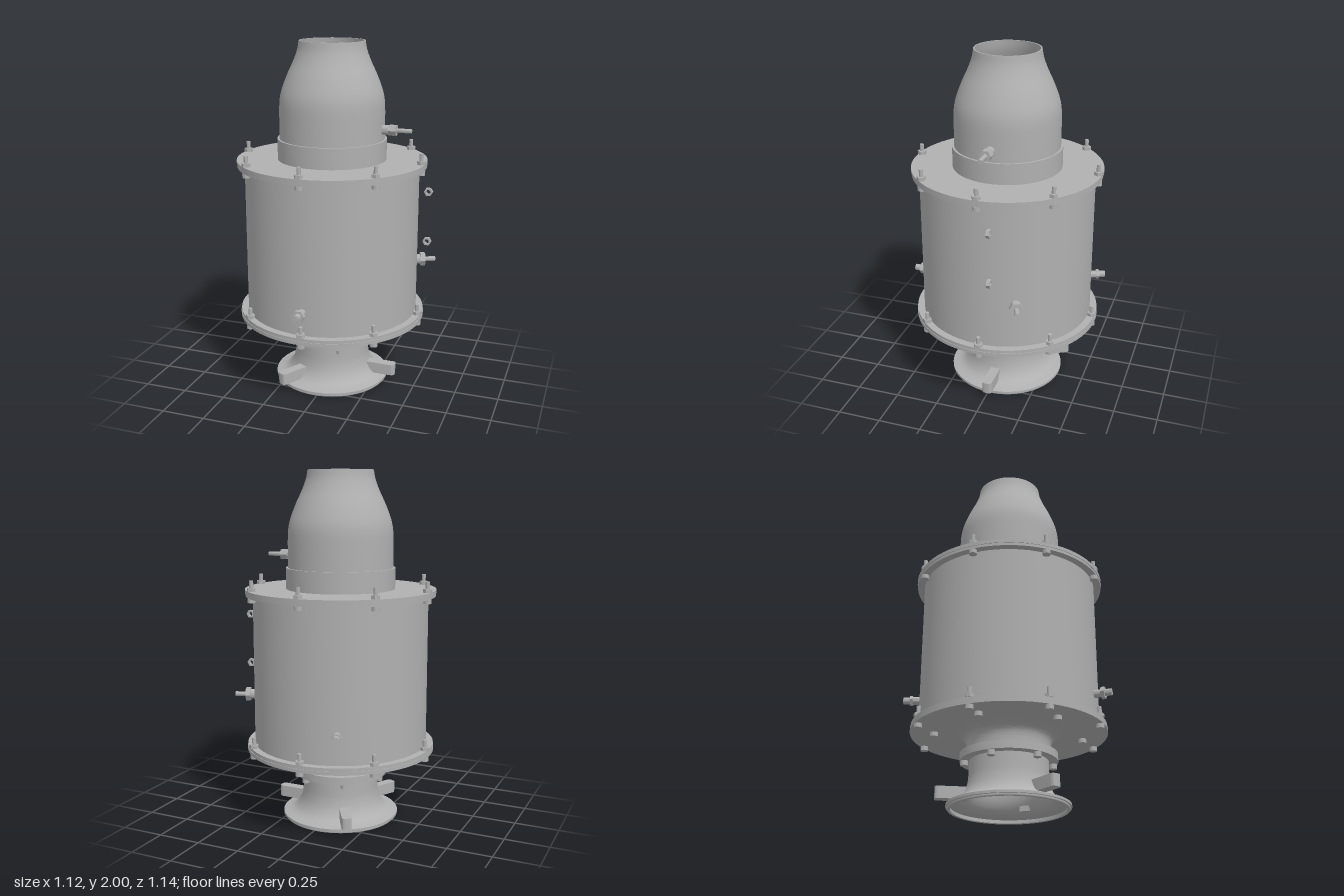
import * as THREE from 'three';
import { toCreasedNormals } from 'three/addons/utils/BufferGeometryUtils.js';

export function createModel() {
  const model = new THREE.Group();
  model.name = 'burner';
  // everything is arranged around the main axis, slightly off the origin
  const body = new THREE.Group();
  body.name = 'assembly';
  body.position.set(-0.015, 0, -0.017);
  model.add(body);

  const steel = new THREE.MeshStandardMaterial({ color: 0xb0b0b0, side: THREE.DoubleSide });
  steel.name = 'steel grey';

  const add = (name, geo, parent = body) => {
    const m = new THREE.Mesh(geo, steel);
    m.name = name;
    parent.add(m);
    return m;
  };
  // profile runs up the outside and down the inside
  const lathe = (name, pts, segs = 72) => add(name, toCreasedNormals(
    new THREE.LatheGeometry(pts.map(p => new THREE.Vector2(p[0], p[1])), segs), 0.6));
  const curve = (pts, n) => new THREE.SplineCurve(pts.map(p => new THREE.Vector2(p[0], p[1])))
    .getPoints(n).map(p => [p.x, p.y]);
  const ring = (name, r0, r1, y0, y1) =>
    lathe(name, [[r0, y0], [r1, y0], [r1, y1], [r0, y1], [r0, y0]]);
  // upright cylinder spanning y0..y1
  const post = (name, parent, r, y0, y1, segs) => {
    const m = add(name, toCreasedNormals(new THREE.CylinderGeometry(r, r, y1 - y0, segs), 0.6), parent);
    m.position.y = (y0 + y1) / 2;
    return m;
  };
  const around = (n, r, name, build) => {
    for (let i = 0; i < n; i++) {
      const a = (i / n) * Math.PI * 2;
      const g = new THREE.Group();
      g.name = name;
      g.position.set(Math.cos(a) * r, 0, Math.sin(a) * r);
      g.rotation.y = -a;
      body.add(g);
      build(g);
    }
  };

  // outlet nozzle and its collar
  const neck = curve([[0.297, 1.6], [0.294, 1.67], [0.282, 1.73], [0.252, 1.81],
    [0.215, 1.89], [0.193, 1.95], [0.184, 2]], 28);
  lathe('outletNozzle', [[0.297, 1.34], ...neck,
    ...neck.slice().reverse().map(p => [p[0] - 0.008, p[1]]), [0.289, 1.34]]);
  ring('outletCollar', 0.296, 0.309, 1.335, 1.46);

  // drum shell with paired flanges at both ends
  ring('drum', 0.485, 0.497, 0.44, 1.32);
  ring('upperFlangeLower', 0.48, 0.538, 1.305, 1.321);
  ring('upperFlangeUpper', 0.17, 0.541, 1.321, 1.342);
  ring('lowerFlangeLower', 0.2, 0.541, 0.415, 0.435);
  ring('lowerFlangeUpper', 0.48, 0.538, 0.435, 0.453);

  // inner liner with the cone, its tip and four vanes
  ring('innerLiner', 0.175, 0.184, 0.42, 1.335);
  const baseY = 1.2, tipY = 1.42, coneR = 0.176;
  lathe('innerCone', [[0, baseY], [coneR, baseY], [0.001, tipY]]);
  add('coneTip', new THREE.SphereGeometry(0.021, 20, 12)).position.y = tipY - 0.005;
  for (let i = 0; i < 4; i++) {
    const a = Math.PI / 4 + i * Math.PI / 2;
    const vane = add('vane', new THREE.BoxGeometry(0.08, 0.13, 0.012));
    vane.position.set(Math.cos(a) * 0.13, 1.27, Math.sin(a) * 0.13);
    vane.rotation.y = -a;
  }

  // flared inlet neck and joint ring
  lathe('inletNeck', [[0.227, 0.3],
    ...curve([[0.227, 0.33], [0.232, 0.365], [0.25, 0.395], [0.3, 0.417]], 14),
    [0.2, 0.417], [0.2, 0.3], [0.227, 0.3]]);
  ring('jointRing', 0.2, 0.267, 0.263, 0.307);

  // bell-shaped inlet with rolled rim
  const bell = curve([[0.325, 0.03], [0.285, 0.042], [0.255, 0.065], [0.232, 0.105],
    [0.22, 0.155], [0.217, 0.2]], 24);
  lathe('inletBell', [[0.31, 0.004], [0.325, 0.004], [0.327, 0.014], [0.335, 0.014], [0.335, 0.028],
    ...bell, [0.217, 0.27], [0.203, 0.27],
    ...bell.slice().reverse().map(p => [p[0] - 0.014, p[1] - 0.008]), [0.31, 0.004]]);
  const lip = add('bellLip', new THREE.TorusGeometry(0.319, 0.008, 8, 72));
  lip.rotation.x = Math.PI / 2;
  lip.position.y = 0.008;

  // three mounting lugs with rounded ends
  const lugShape = new THREE.Shape();
  lugShape.moveTo(0.225, -0.028);
  lugShape.lineTo(0.375, -0.028);
  lugShape.quadraticCurveTo(0.395, -0.028, 0.395, -0.008);
  lugShape.lineTo(0.395, 0.008);
  lugShape.quadraticCurveTo(0.395, 0.028, 0.375, 0.028);
  lugShape.lineTo(0.225, 0.028);
  around(3, 0, 'mountingLug', g => {
    const geo = new THREE.ExtrudeGeometry(lugShape, { depth: 0.066, bevelEnabled: false, curveSegments: 6 });
    geo.rotateX(-Math.PI / 2);
    add('lug', toCreasedNormals(geo, 0.6), g).position.y = 0.05;
  });

  // flange bolts: stud, nut and head
  for (const [bottom, top] of [[1.305, 1.342], [0.415, 0.453]]) {
    around(8, 0.52, 'flangeBolt', g => {
      post('stud', g, 0.0115, bottom, top + 0.06, 16);
      post('nut', g, 0.025, top, top + 0.02, 6);
      post('head', g, 0.022, bottom - 0.024, bottom, 20);
    });
  }
  around(6, 0.41, 'innerFlangeBolt', g => post('head', g, 0.022, 0.391, 0.416, 20));
  around(6, 0.243, 'jointBolt', g => post('head', g, 0.021, 0.236, 0.264, 20));

  // radial fittings: each part is [radius, start, end, sides]
  const fitting = (name, y, deg, parts) => {
    const turn = new THREE.Group();
    turn.name = name;
    turn.position.y = y;
    turn.rotation.y = -THREE.MathUtils.degToRad(deg);
    const lay = new THREE.Group();
    lay.rotation.z = -Math.PI / 2;
    turn.add(lay);
    body.add(turn);
    for (const [r, a, b, n] of parts) post(n === 6 ? 'hexNut' : 'stem', lay, r, a, b, n);
  };
  fitting('outletProbe', 1.522, 0, [[0.027, 0.28, 0.335, 20], [0.032, 0.333, 0.376, 6], [0.0125, 0.37, 0.46, 16]]);
  fitting('frontPort', 0.588, 90, [[0.022, 0.48, 0.54, 20], [0.034, 0.535, 0.556, 6], [0.019, 0.55, 0.592, 16],
    [0.01, 0.59, 0.594, 12]]);
  fitting('sideProbe', 0.72, -23, [[0.028, 0.48, 0.525, 20], [0.04, 0.523, 0.55, 6], [0.014, 0.54, 0.612, 16]]);
  fitting('rearPort', 0.617, 247.5, [[0.022, 0.48, 0.54, 20], [0.029, 0.535, 0.552, 6], [0.019, 0.55, 0.588, 16]]);

  // two open hex nuts beside the drum
  const hex = new THREE.Shape();
  for (let i = 0; i < 6; i++) {
    const a = i * Math.PI / 3;
    hex[i ? 'lineTo' : 'moveTo'](Math.cos(a) * 0.025, Math.sin(a) * 0.025);
  }
  hex.holes.push(new THREE.Path().absarc(0, 0, 0.013, 0, Math.PI * 2, true));
  for (const y of [1.17, 0.878]) {
    const nut = add('sideNut', toCreasedNormals(
      new THREE.ExtrudeGeometry(hex, { depth: 0.02, bevelEnabled: false }), 0.6));
    nut.position.set(0.548, y, -0.085);
  }
  return model;
}
